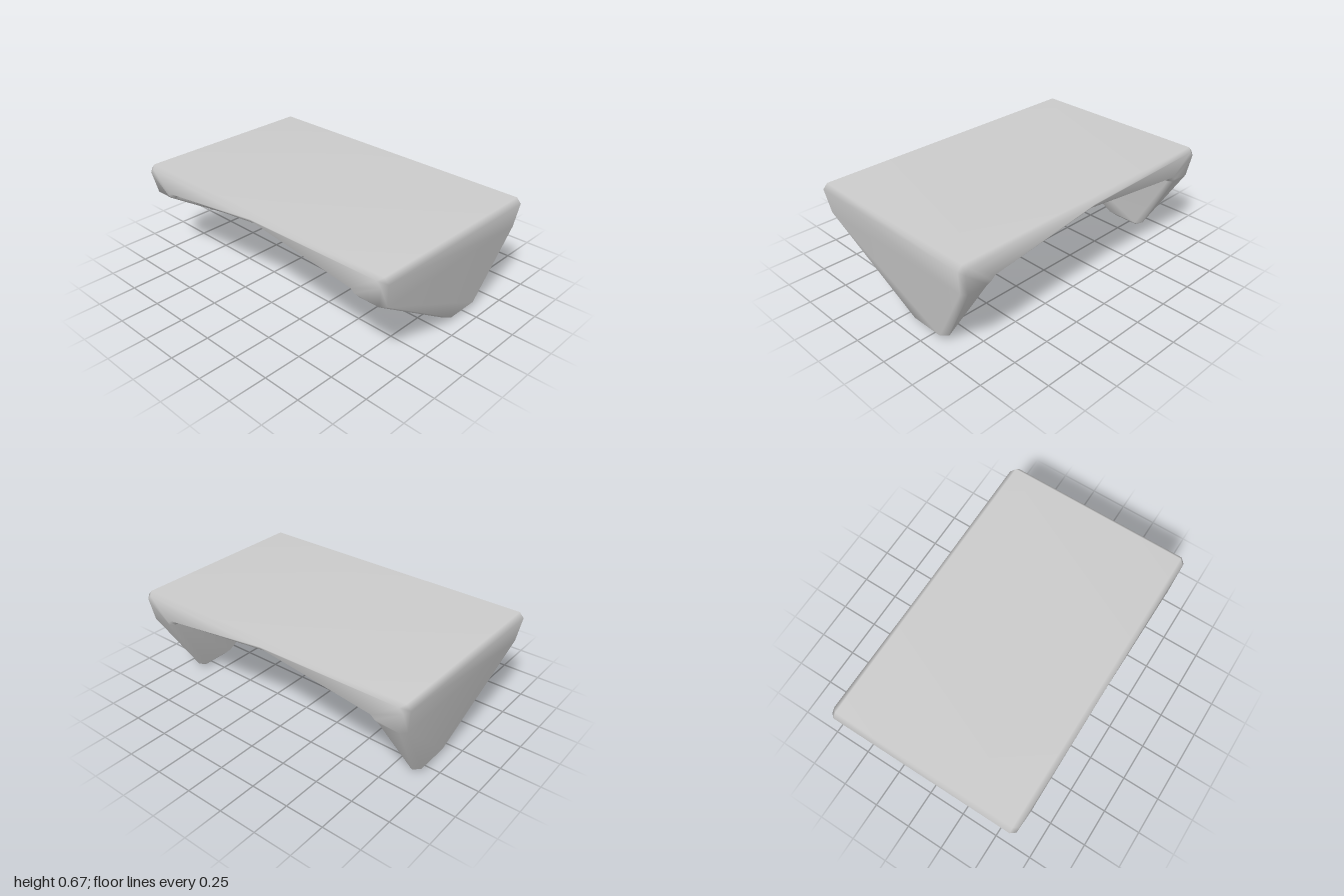
import * as THREE from 'three';
import { mergeVertices } from 'three/addons/utils/BufferGeometryUtils.js';

// Chamfered cross-section of the band: outer and inner point as [z, y], x range, chamfer
function section({ o, i, x, c }) {
  const outer = new THREE.Vector3(0, o[1], o[0]);
  const inner = new THREE.Vector3(0, i[1], i[0]);
  const gap = outer.distanceTo(inner);
  const t = gap > 0 ? Math.min(c / gap, 0.48) : 0;
  const at = (px, f) => outer.clone().lerp(inner, f).setX(px);
  const [l, r] = x;
  return [
    at(l + c, 0), at(r - c, 0), at(r, t), at(r, 1 - t),
    at(r - c, 1), at(l + c, 1), at(l, 1 - t), at(l, t),
  ];
}

// Skin a list of equal-length loops
function loft(loops) {
  const n = loops[0].length;
  const index = [];
  for (let s = 0; s < loops.length - 1; s++) {
    for (let j = 0; j < n; j++) {
      const a = s * n + j, b = s * n + (j + 1) % n;
      index.push(a, b, a + n, b, b + n, a + n);
    }
  }
  const geo = new THREE.BufferGeometry().setFromPoints(loops.flat());
  geo.setIndex(index);
  const merged = mergeVertices(geo, 1e-4);
  merged.computeVertexNormals();
  return merged;
}

export function createModel() {
  const group = new THREE.Group();
  group.name = 'lowTable';

  // Front half, from the foot tip up the leg and along the top
  const half = [
    { o: [0.88, 0], i: [0.88, 0], x: [0.135, 0.305], c: 0 },               // foot ridge
    { o: [0.92, 0.035], i: [0.842, 0.035], x: [0.065, 0.36], c: 0.035 },   // foot
    { o: [0.977, 0.48], i: [0.785, 0.48], x: [-0.61, 0.618], c: 0.03 },    // top of leg
    { o: [1, 0.635], i: [0.775, 0.492], x: [-0.635, 0.635], c: 0.03 },     // corner
    { o: [0.97, 0.667], i: [0.75, 0.512], x: [-0.635, 0.635], c: 0.03 },   // end of top
  ];
  const middle = { o: [0, 0.667], i: [0, 0.6], x: [-0.635, 0.635], c: 0.03 };
  const back = half.map((s) => ({ ...s, o: [-s.o[0], s.o[1]], i: [-s.i[0], s.i[1]] })).reverse();

  // Top and both tapered legs form one continuous band
  const mesh = new THREE.Mesh(
    loft([...half, middle, ...back].map(section)),
    new THREE.MeshStandardMaterial({ color: 0xcccccc }),
  );
  mesh.name = 'tabletopAndLegs';
  group.add(mesh);
  return group;
}
